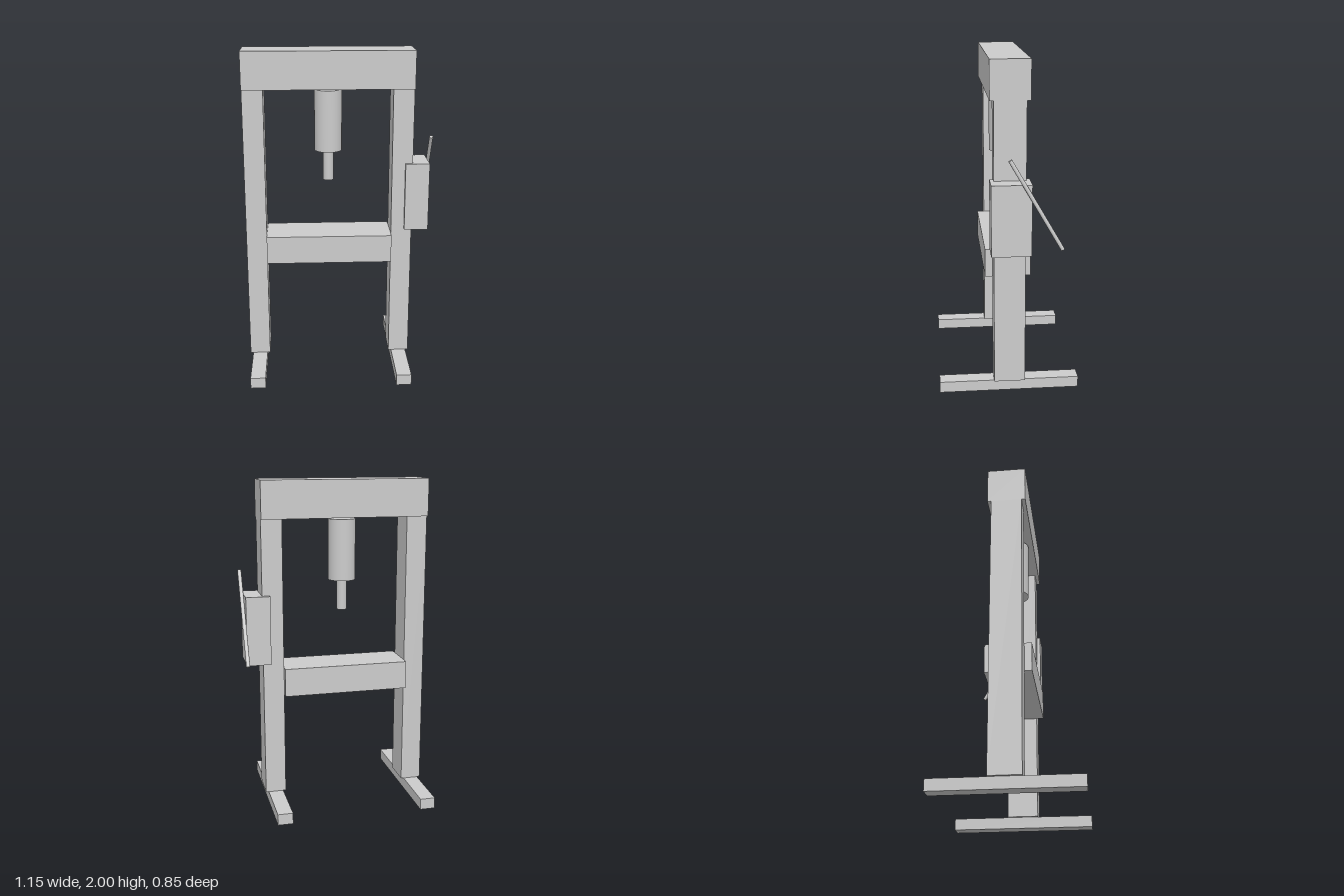
import * as THREE from 'three';

const material = new THREE.MeshStandardMaterial({ color: 0xcccccc });

export function createModel() {
  const press = new THREE.Group();
  press.name = 'shopPress';

  const add = (name, geometry, x, y, z = 0) => {
    const mesh = new THREE.Mesh(geometry, material);
    mesh.name = name;
    mesh.position.set(x, y, z);
    press.add(mesh);
    return mesh;
  };
  // Box from its centre x, width, bottom, top and depth
  const box = (name, x, width, bottom, top, depth) =>
    add(name, new THREE.BoxGeometry(width, top - bottom, depth), x, (bottom + top) / 2);
  // Upright cylinder from its bottom and top
  const cylinder = (name, x, radius, bottom, top) =>
    add(name, new THREE.CylinderGeometry(radius, radius, top - bottom, 32), x, (bottom + top) / 2);

  const frameX = -0.067; // centre line of the frame

  // Frame: feet, posts, top beam and work bed
  for (const [side, sign] of [['right', -1], ['left', 1]]) {
    const x = frameX + sign * 0.447;
    box(`${side}Foot`, x, 0.092, 0, 0.068, 0.845);
    box(`${side}Post`, x, 0.126, 0.068, 1.775, 0.185);
  }
  box('topBeam', frameX, 1.02, 1.775, 2, 0.23);
  box('workBed', frameX, 0.768, 0.703, 0.875, 0.273);

  // Hydraulic ram
  cylinder('ramCylinder', frameX, 0.083, 1.392, 1.763);
  cylinder('ramPiston', frameX, 0.032, 1.206, 1.392);

  // Pump housing on the left post with its slanted lever
  box('pumpHousing', 0.47, 0.146, 0.905, 1.323, 0.23);
  const lever = add('pumpLever', new THREE.CylinderGeometry(0.0115, 0.0115, 0.6, 16), 0.561, 1.208, -0.138);
  lever.rotation.x = Math.PI / 6;

  return press;
}
